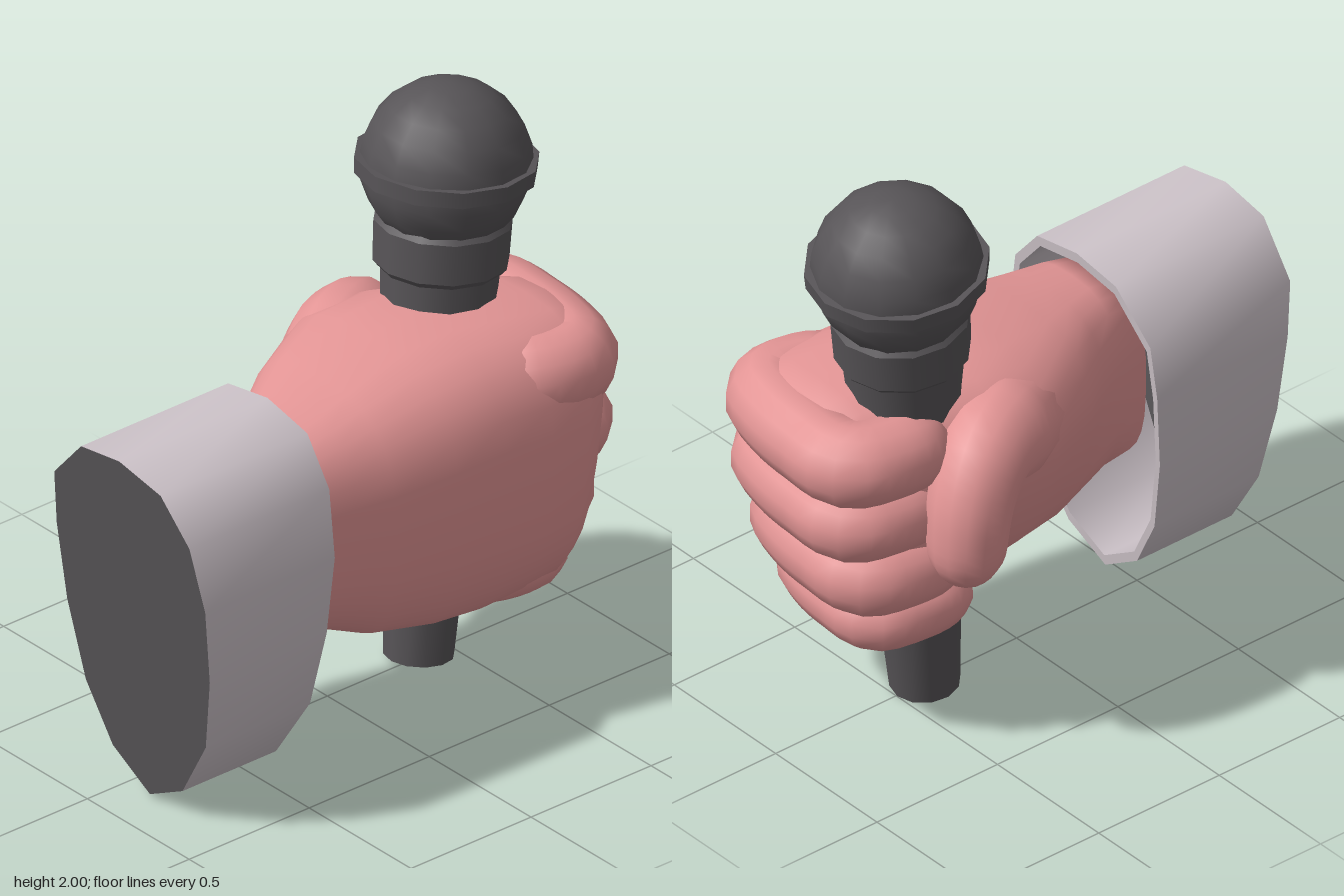
import * as THREE from 'three';

const skin = new THREE.MeshStandardMaterial({ color: 0xe39595 });
skin.name = 'skin';
const cloth = new THREE.MeshStandardMaterial({ color: 0xcec4ca });
cloth.name = 'cuff cloth';
const dark = new THREE.MeshStandardMaterial({ color: 0x575457, side: THREE.DoubleSide });
dark.name = 'dark grey';

function mesh(name, geometry, material) {
  const m = new THREE.Mesh(geometry, material);
  m.name = name;
  return m;
}

// Skin over a list of rings (each an array of Vector3), optionally closed at both ends
function loft(rings, closed) {
  const n = rings[0].length, pos = [], idx = [];
  rings.forEach(r => r.forEach(p => pos.push(p.x, p.y, p.z)));
  for (let i = 0; i < rings.length - 1; i++) {
    for (let j = 0; j < n; j++) {
      const k = (j + 1) % n;
      const a = i * n + j, b = i * n + k, c = a + n, d = b + n;
      idx.push(a, b, c, b, d, c);
    }
  }
  if (closed) {
    [0, rings.length - 1].forEach((ri, end) => {
      const c = new THREE.Vector3();
      rings[ri].forEach(p => c.addScaledVector(p, 1 / n));
      const ci = pos.length / 3;
      pos.push(c.x, c.y, c.z);
      for (let j = 0; j < n; j++) {
        const a = ri * n + j, b = ri * n + (j + 1) % n;
        if (end) idx.push(a, b, ci);
        else idx.push(b, a, ci);
      }
    });
  }
  const g = new THREE.BufferGeometry();
  g.setAttribute('position', new THREE.Float32BufferAttribute(pos, 3));
  g.setIndex(idx);
  g.computeVertexNormals();
  return g;
}

// Round-tipped finger through points [x, y, z, radius]
function digit(points) {
  const curve = new THREE.CatmullRomCurve3(points.map(p => new THREE.Vector3(p[0], p[1], p[2])));
  const steps = 30, sides = 14, rings = [];
  const frames = curve.computeFrenetFrames(steps);
  for (let i = 0; i <= steps; i++) {
    const u = i / steps, f = u * (points.length - 1);
    const k = Math.min(Math.floor(f), points.length - 2);
    let r = THREE.MathUtils.lerp(points[k][3], points[k + 1][3], f - k);
    const tip = Math.max(0, (u - 0.84) / 0.16);
    r *= Math.sqrt(Math.max(0.03, 1 - tip * tip));
    const c = curve.getPointAt(u), ring = [];
    for (let j = 0; j < sides; j++) {
      const t = j / sides * Math.PI * 2;
      ring.push(c.clone()
        .addScaledVector(frames.normals[i], r * Math.cos(t))
        .addScaledVector(frames.binormals[i], r * Math.sin(t)));
    }
    rings.push(ring);
  }
  return loft(rings, true);
}

// Wrist, palm and back of the hand as one rounded form
function palmGeometry() {
  // z, x min, x max, y min, y max, inward taper of the lower thumb side
  const sections = [
    [0.45, -0.11, 0.37, 0.49, 1.16, 0.02],
    [0.34, -0.12, 0.39, 0.47, 1.18, 0.03],
    [0.22, -0.20, 0.41, 0.43, 1.20, 0.10],
    [0.08, -0.31, 0.435, 0.37, 1.23, 0.22],
    [-0.15, -0.43, 0.475, 0.33, 1.28, 0.36],
    [-0.35, -0.42, 0.49, 0.32, 1.30, 0.36],
    [-0.55, -0.32, 0.50, 0.32, 1.29, 0.18],
    [-0.72, -0.26, 0.50, 0.33, 1.27, 0.10],
    [-0.80, -0.23, 0.47, 0.35, 1.25, 0.08],
    [-0.86, -0.16, 0.41, 0.40, 1.21, 0.04],
  ];
  const power = v => Math.sign(v) * Math.pow(Math.abs(v), 0.72);
  return loft(sections.map(([z, x0, x1, y0, y1, taper]) => {
    const ring = [];
    for (let j = 0; j < 28; j++) {
      const t = j / 28 * Math.PI * 2;
      const cx = power(Math.cos(t)), sy = -power(Math.sin(t));
      const low = (1 - sy) / 2;
      let x = (x0 + x1) / 2 + (x1 - x0) / 2 * cx;
      x += taper * low * low * (1 - cx) / 2;
      const y = (y0 + y1) / 2 + (y1 - y0) / 2 * sy;
      const pull = Math.max(0, -z - 0.3) * 0.3 * low;
      ring.push(new THREE.Vector3(x, y, z + pull));
    }
    return ring;
  }), true);
}

function createHand() {
  const hand = new THREE.Group();
  hand.name = 'hand';
  hand.add(mesh('palm', palmGeometry(), skin));

  // Four fingers curled around the handle, their roots sunk into the palm
  const path = [[0.22, -0.40], [0.345, -0.64], [0.33, -0.75], [0.20, -0.80], [0.03, -0.82],
    [-0.14, -0.81], [-0.195, -0.66], [-0.19, -0.46]];
  // height, forward offset, radius, sideways scale
  [
    ['indexFinger', 1.105, 0, 0.143, 1],
    ['middleFinger', 0.88, 0.01, 0.135, 0.98],
    ['ringFinger', 0.635, 0.08, 0.135, 0.93],
    ['littleFinger', 0.435, 0.14, 0.112, 0.83],
  ].forEach(([name, y, dz, r, s]) => {
    const pts = path.map(([x, z], i) =>
      [0.1 + (x - 0.1) * s, y, z + dz, r * (i === 0 ? 0.5 : i > 5 ? 0.95 : 1)]);
    hand.add(mesh(name, digit(pts), skin));
  });

  // Thumb bends downwards on the palm side
  hand.add(mesh('thumb', digit([
    [-0.06, 0.96, 0.02, 0.08],
    [-0.23, 1.06, -0.22, 0.165],
    [-0.32, 1.07, -0.40, 0.175],
    [-0.36, 0.96, -0.49, 0.15],
    [-0.375, 0.82, -0.52, 0.135],
    [-0.37, 0.645, -0.52, 0.12],
  ]), skin));
  return hand;
}

function createMicrophone() {
  const mic = new THREE.Group();
  mic.name = 'microphone';
  const tube = (name, y0, y1, r0, r1, open) => {
    const m = mesh(name, new THREE.CylinderGeometry(r1, r0, y1 - y0, 12, 1, open), dark);
    m.position.y = (y0 + y1) / 2;
    mic.add(m);
  };
  // The handle is hollow at the bottom
  tube('handle', 0, 1.37, 0.115, 0.197, true);
  tube('collarBevel', 1.365, 1.385, 0.205, 0.222, false);
  tube('collar', 1.385, 1.525, 0.222, 0.226, false);
  tube('collarTop', 1.525, 1.545, 0.226, 0.21, false);
  tube('grilleBand', 1.69, 1.745, 0.297, 0.3, false);
  const head = mesh('grille', new THREE.SphereGeometry(0.28, 14, 12), dark);
  head.position.y = 1.72;
  mic.add(head);
  // Lean the whole microphone
  mic.position.set(-0.005, 0.012, -0.385);
  const axis = new THREE.Vector3(-0.08, 1.97, -0.2).normalize();
  mic.quaternion.setFromUnitVectors(new THREE.Vector3(0, 1, 0), axis);
  return mic;
}

function createCuff() {
  const cuff = new THREE.Group();
  cuff.name = 'cuff';
  const outline = [[0.11, 1.275], [0.31, 1.235], [0.435, 1.09], [0.488, 0.87], [0.48, 0.6],
    [0.43, 0.33], [0.29, 0.1], [0.12, 0.01], [-0.05, 0.12], [-0.16, 0.32],
    [-0.22, 0.6], [-0.24, 0.88], [-0.23, 1.08], [-0.08, 1.245]];
  const front = y => 0.84 + 0.095 * y;
  const back = y => 0.47 - 0.1 * y;
  const ring = (s, z) => outline.map(([px, py]) => {
    const x = 0.12 + (px - 0.12) * s, y = 0.65 + (py - 0.65) * s;
    return new THREE.Vector3(x, y, z(y));
  });
  const inner = 0.94;
  cuff.add(mesh('sleeveOuter', loft([ring(1, front), ring(1, back)]), cloth));
  cuff.add(mesh('sleeveRim', loft([ring(1, back), ring(inner, back)]), cloth));
  cuff.add(mesh('sleeveInner', loft([ring(inner, back), ring(inner, front)]), cloth));
  cuff.add(mesh('sleeveEnd', loft([ring(0, front), ring(1, front)]), dark));
  return cuff;
}

export function createModel() {
  const model = new THREE.Group();
  model.name = 'handHoldingMicrophone';
  model.add(createHand(), createMicrophone(), createCuff());
  return model;
}
